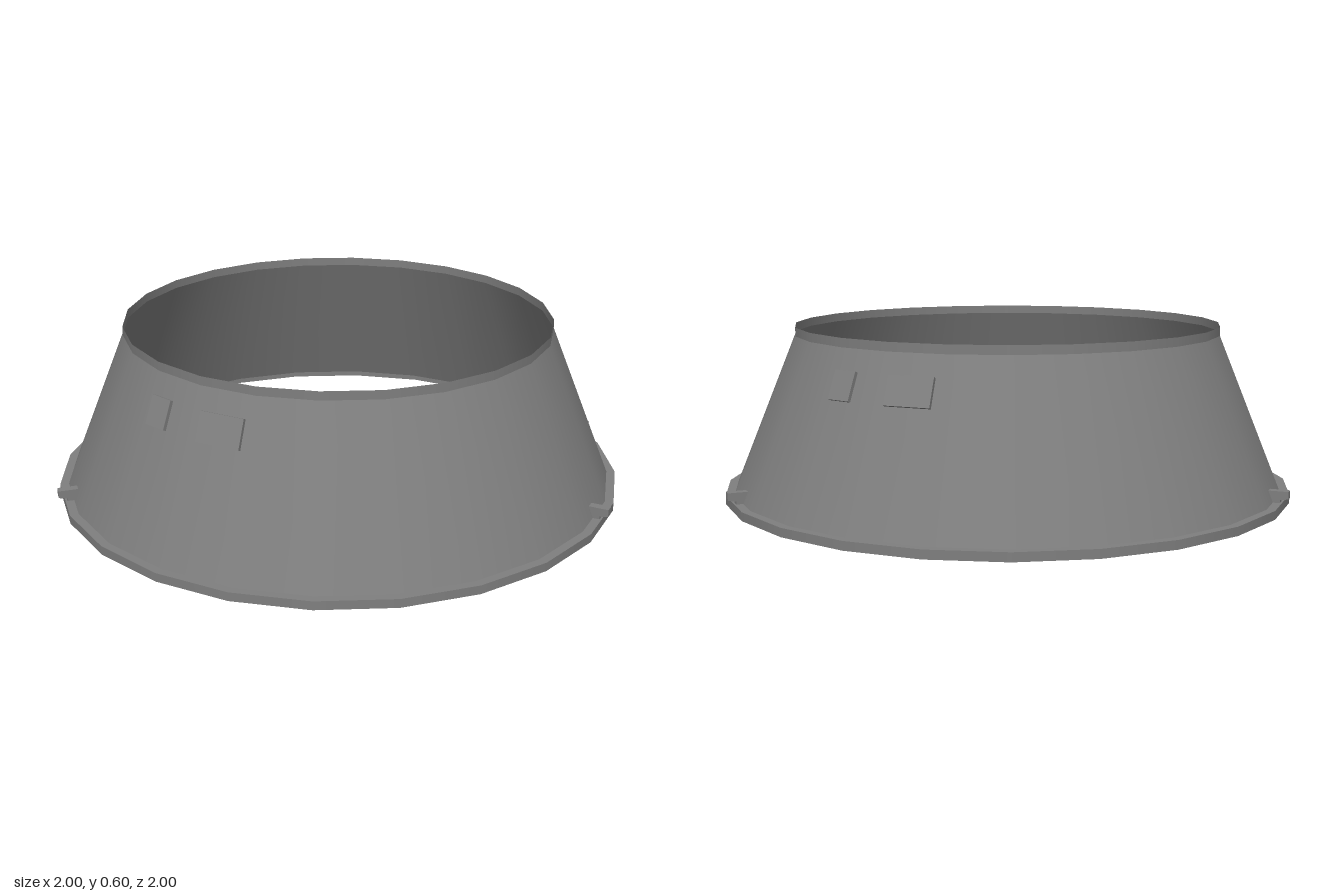
import * as THREE from 'three';

const SIDES = 24;
const deg = THREE.MathUtils.degToRad;

export function createModel() {
  const model = new THREE.Group();
  model.name = 'taperedCollar';
  const grey = new THREE.MeshStandardMaterial({ color: 0x7f7f7f, side: THREE.DoubleSide });
  grey.name = 'grey';

  const add = (parent, name, geometry) => {
    const mesh = new THREE.Mesh(geometry, grey);
    mesh.name = name;
    parent.add(mesh);
    return mesh;
  };

  // Thin open shell: each band is its own lathe so the edges between bands stay sharp
  const bands = [
    ['flangeEdge', 1, 0, 1, 0.03],
    ['flangeTop', 1, 0.03, 0.97, 0.03],
    ['coneWall', 0.97, 0.03, 0.75, 0.57],
    ['topLip', 0.75, 0.57, 0.75, 0.6],
  ];
  for (const [name, r0, y0, r1, y1] of bands) {
    const profile = [new THREE.Vector2(r0, y0), new THREE.Vector2(r1, y1)];
    add(model, name, new THREE.LatheGeometry(profile, SIDES));
  }

  // Raised plates lying flat on the cone facets, one pair in front and one behind
  const flat = Math.cos(Math.PI / SIDES);
  const tilt = Math.atan((0.22 * flat) / 0.54);
  const plateY = 0.455, thick = 0.012;
  const plateR = (0.97 - (0.22 * (plateY - 0.03)) / 0.54) * flat;
  const plates = [
    ['largePlate', -22.5, 0, 0.155],
    ['smallPlate', -37.5, -0.044, 0.085],
  ];
  for (const turn of [0, 180]) {
    for (const [name, angle, shift, width] of plates) {
      const holder = new THREE.Group();
      holder.name = name + 'Mount';
      holder.rotation.y = deg(angle + turn);
      model.add(holder);
      const geometry = new THREE.BoxGeometry(width, 0.097, thick);
      geometry.translate(0, 0, thick / 2 + 0.0005);
      const plate = add(holder, name, geometry);
      plate.position.set(shift, plateY, plateR);
      plate.rotation.x = -tilt;
    }
  }

  // Four hooked clips over the flange
  const hook = new THREE.Shape([
    [0.945, 0.07], [0.945, 0.045], [0.96, 0.015], [0.985, 0.015],
    [0.985, 0.04], [1.013, 0.045], [1.013, 0.07],
  ].map(([r, y]) => new THREE.Vector2(r, y)));
  const clip = new THREE.ExtrudeGeometry(hook, { depth: 0.03, bevelEnabled: false });
  clip.translate(0, 0, -0.015);
  for (const angle of [22.5, -22.5, 157.5, 202.5]) {
    add(model, 'clip', clip).rotation.y = deg(angle);
  }

  return model;
}
